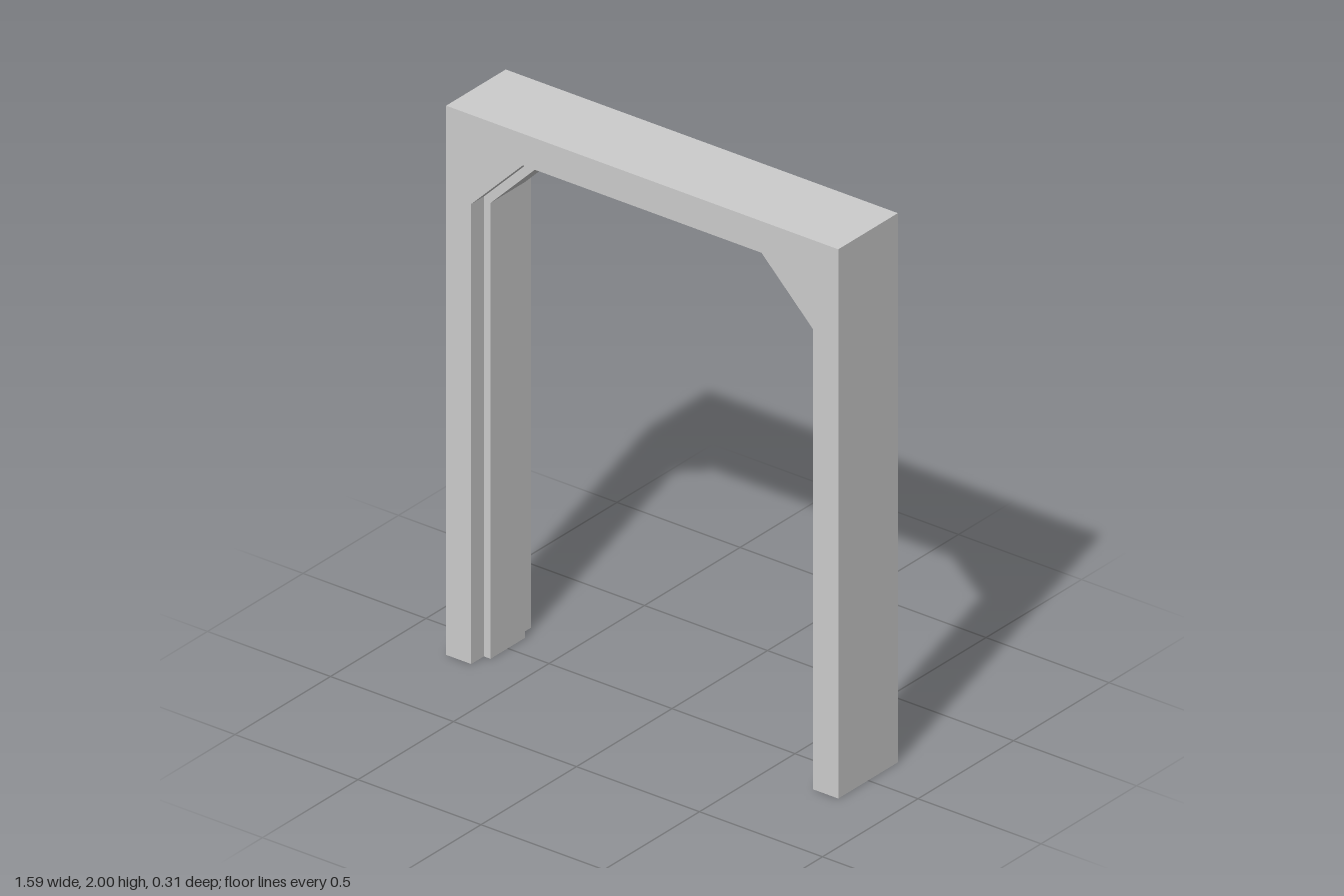
import * as THREE from 'three';

const material = new THREE.MeshStandardMaterial({ color: 0xcccccc, flatShading: true });

// Opening outline with clipped top corners, from the +x foot to the -x foot
function opening(halfWidth, shoulderY, topHalfWidth, topY) {
  const half = [[halfWidth, 0], [halfWidth, shoulderY], [topHalfWidth, topY]];
  const mirrored = half.map(([x, y]) => [-x, y]).reverse();
  return [...half, ...mirrored];
}

// Extrude the arch lying between an outer and an inner outline, centred on z
function arch(name, outer, inner, depth) {
  const points = [...outer, ...[...inner].reverse()].map(([x, y]) => new THREE.Vector2(x, y));
  const geometry = new THREE.ExtrudeGeometry(new THREE.Shape(points), { depth, bevelEnabled: false });
  geometry.translate(0, 0, -depth / 2);
  const mesh = new THREE.Mesh(geometry, material);
  mesh.name = name;
  return mesh;
}

export function createModel() {
  const group = new THREE.Group();
  group.name = 'doorFrame';

  const outside = [[0.797, 0], [0.797, 2], [-0.797, 2], [-0.797, 0]];
  const frameOpening = opening(0.695, 1.675, 0.485, 1.885);
  const stopOpening = opening(0.668, 1.66, 0.47, 1.858);

  // Full-depth jambs and header
  group.add(arch('frame', outside, frameOpening, 0.312));
  // Narrower raised strip running around the inside of the opening
  group.add(arch('doorStop', frameOpening, stopOpening, 0.18));

  return group;
}
